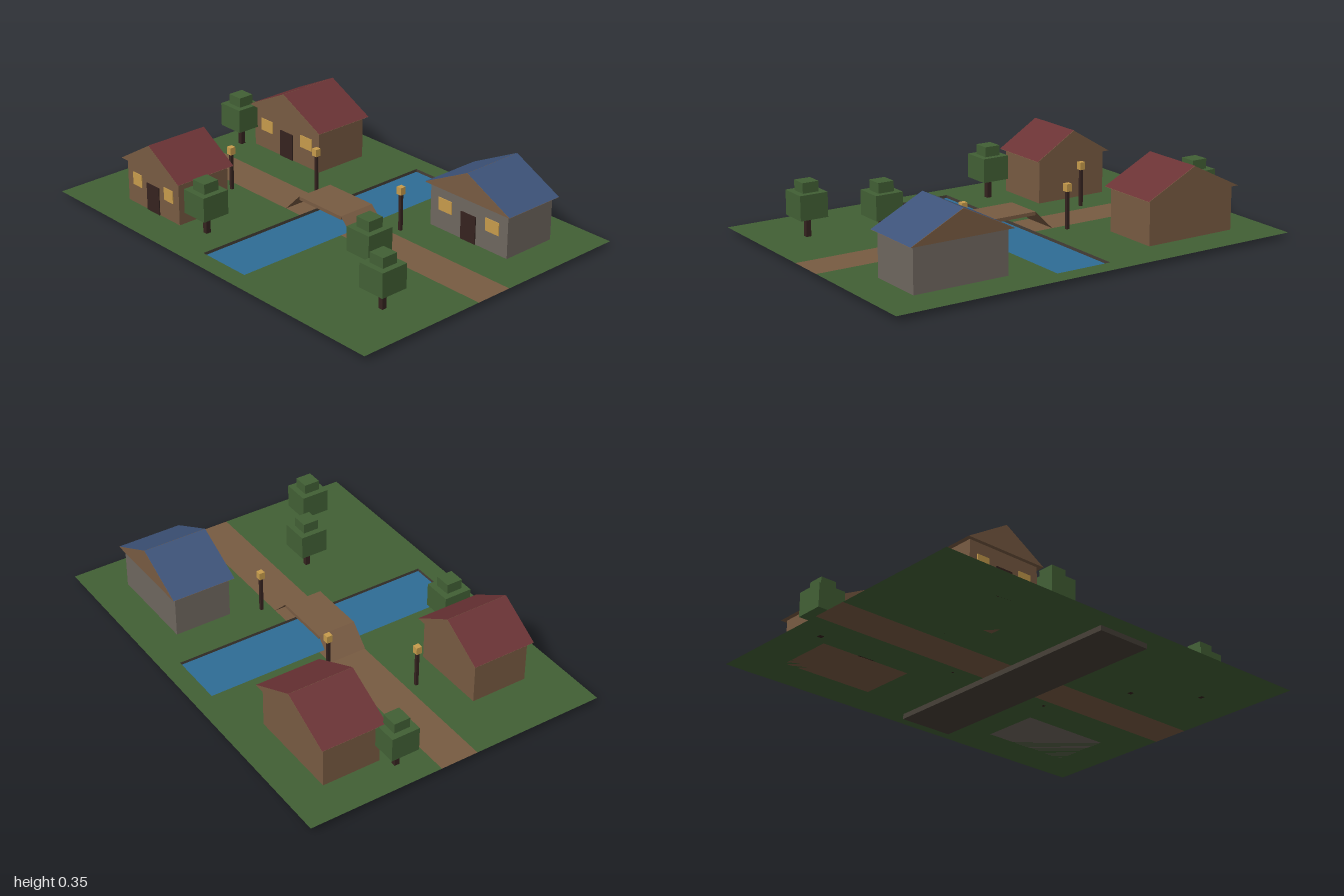
import * as THREE from 'three';

const mat = (name, color, side = THREE.FrontSide) => {
  const m = new THREE.MeshStandardMaterial({ color, side });
  m.name = name;
  return m;
};

export function createModel() {
  const D = THREE.DoubleSide;
  const green = mat('grass green', 0x426035, D);
  const wood = mat('wood brown', 0x785b42, D);
  const stone = mat('wall grey', 0x6f675f);
  const red = mat('roof red', 0x6b3335);
  const blue = mat('roof blue', 0x3d5379);
  const gold = mat('lamp gold', 0xc79c4c);
  const dark = mat('dark timber', 0x35231f);
  const bed = mat('river bed', 0x463f37, D);
  const water = mat('water blue', 0x2e6d96);

  const root = new THREE.Group();
  root.name = 'village';
  const G = 0.024; // ground level

  const group = (name, x, z) => {
    const g = new THREE.Group();
    g.name = name;
    g.position.set(x, G, z);
    root.add(g);
    return g;
  };
  const add = (parent, name, geo, material) => {
    const m = new THREE.Mesh(geo, material);
    m.name = name;
    parent.add(m);
    return m;
  };
  // box standing on y0
  const box = (parent, name, material, w, h, d, x, y0, z) => {
    const m = add(parent, name, new THREE.BoxGeometry(w, h, d), material);
    m.position.set(x, y0 + h / 2, z);
    return m;
  };
  // flat sheet between two x and z limits, optionally sloping along x
  const sheet = (name, material, x0, x1, z0, z1, y0, y1 = y0) => {
    const geo = new THREE.BufferGeometry();
    geo.setAttribute('position', new THREE.Float32BufferAttribute(
      [x0, y0, z0, x0, y0, z1, x1, y1, z1, x1, y1, z0], 3));
    geo.setIndex([0, 1, 2, 0, 2, 3]);
    geo.computeVertexNormals();
    return add(root, name, geo, material);
  };

  // Grass, path and river channel
  const X0 = -0.09, X1 = 0.18, ZR = 0.636, ZG = 0.725, P = 0.09;
  for (const s of [-1, 1]) {
    const band = (a, b) => (s > 0 ? [a, b] : [-b, -a]);
    sheet('grassWest', green, -1, X0, ...band(P, ZG), G);
    sheet('grassEast', green, X1, 1, ...band(P, ZG), G);
    sheet('grassRiverEnd', green, X0, X1, ...band(ZR, ZG), G);
    const end = add(root, 'riverEndWall', new THREE.PlaneGeometry(X1 - X0, G), bed);
    end.position.set((X0 + X1) / 2, G / 2, s * ZR);
  }
  sheet('pathWest', wood, -1, X0, -P, P, G);
  sheet('pathEast', wood, X1, 1, -P, P, G);
  for (const x of [X0, X1]) {
    const bank = add(root, 'riverBank', new THREE.PlaneGeometry(2 * ZR, G), bed);
    bank.rotation.y = Math.PI / 2;
    bank.position.set(x, G / 2, 0);
  }
  sheet('riverBed', bed, X0, X1, -ZR, ZR, 0);
  sheet('riverWater', water, X0, X1, -ZR, ZR, 0.01);

  // Bridge: flat deck with two thin ramps
  box(root, 'bridgeDeck', wood, X1 - X0, 0.016, 0.184, (X0 + X1) / 2, 0.099, 0);
  sheet('bridgeRampWest', wood, X0 - 0.09, X0, -0.092, 0.092, G + 0.001, 0.115);
  sheet('bridgeRampEast', wood, X1, X1 + 0.09, -0.092, 0.092, 0.115, G + 0.001);

  // Houses: walls, gabled roof, door and two front windows
  const house = (name, x, z, w, wallMat, roofMat) => {
    const g = group(name, x, z);
    const d = 0.274, h = 0.203, R = w / 2 + 0.021, rd = 0.31, rise = 0.123;
    box(g, 'walls', wallMat, w, h, d, 0, 0, 0);

    const tri = new THREE.Shape([
      new THREE.Vector2(-R, 0), new THREE.Vector2(R, 0), new THREE.Vector2(0, rise)]);
    const gable = add(g, 'gables', new THREE.ExtrudeGeometry(tri, { depth: rd, bevelEnabled: false }), wood);
    gable.position.set(0, h, -rd / 2);

    const len = Math.hypot(R, rise);
    for (const s of [-1, 1]) {
      const slope = add(g, 'roofSlope', new THREE.PlaneGeometry(len, rd).rotateX(-Math.PI / 2), roofMat);
      slope.rotation.z = -s * Math.atan2(rise, R);
      slope.position.set(s * (R / 2 + 0.0006), h + rise / 2 + 0.0015, 0);
      box(g, 'window', gold, w * 0.173, 0.06, 0.005, s * w * 0.305, 0.09, d / 2 + 0.001);
    }
    box(g, 'door', dark, 0.086, 0.13, 0.007, 0, 0, d / 2 + 0.001);
  };
  house('backLeftHouse', -0.592, -0.411, 0.453, wood, red);
  house('frontLeftHouse', -0.547, 0.409, 0.363, wood, red);
  house('blueRoofHouse', 0.588, -0.411, 0.453, stone, blue);

  // Block trees
  for (const [x, z] of [[-0.869, -0.229], [-0.233, 0.5], [0.5, 0.227], [0.77, 0.408]]) {
    const t = group('tree', x, z);
    box(t, 'trunk', dark, 0.023, 0.093, 0.023, 0, 0, 0);
    box(t, 'lowerFoliage', green, 0.134, 0.113, 0.134, 0, 0.092, 0);
    box(t, 'upperFoliage', green, 0.077, 0.047, 0.077, 0, 0.205, 0);
  }

  // Lamp posts along the path
  for (const [x, z] of [[-0.23, -0.136], [0.315, -0.136], [-0.503, 0.136]]) {
    const l = group('lampPost', x, z);
    box(l, 'post', dark, 0.014, 0.175, 0.014, 0, 0, 0);
    box(l, 'lantern', gold, 0.027, 0.035, 0.027, 0, 0.173, 0);
  }
  return root;
}
